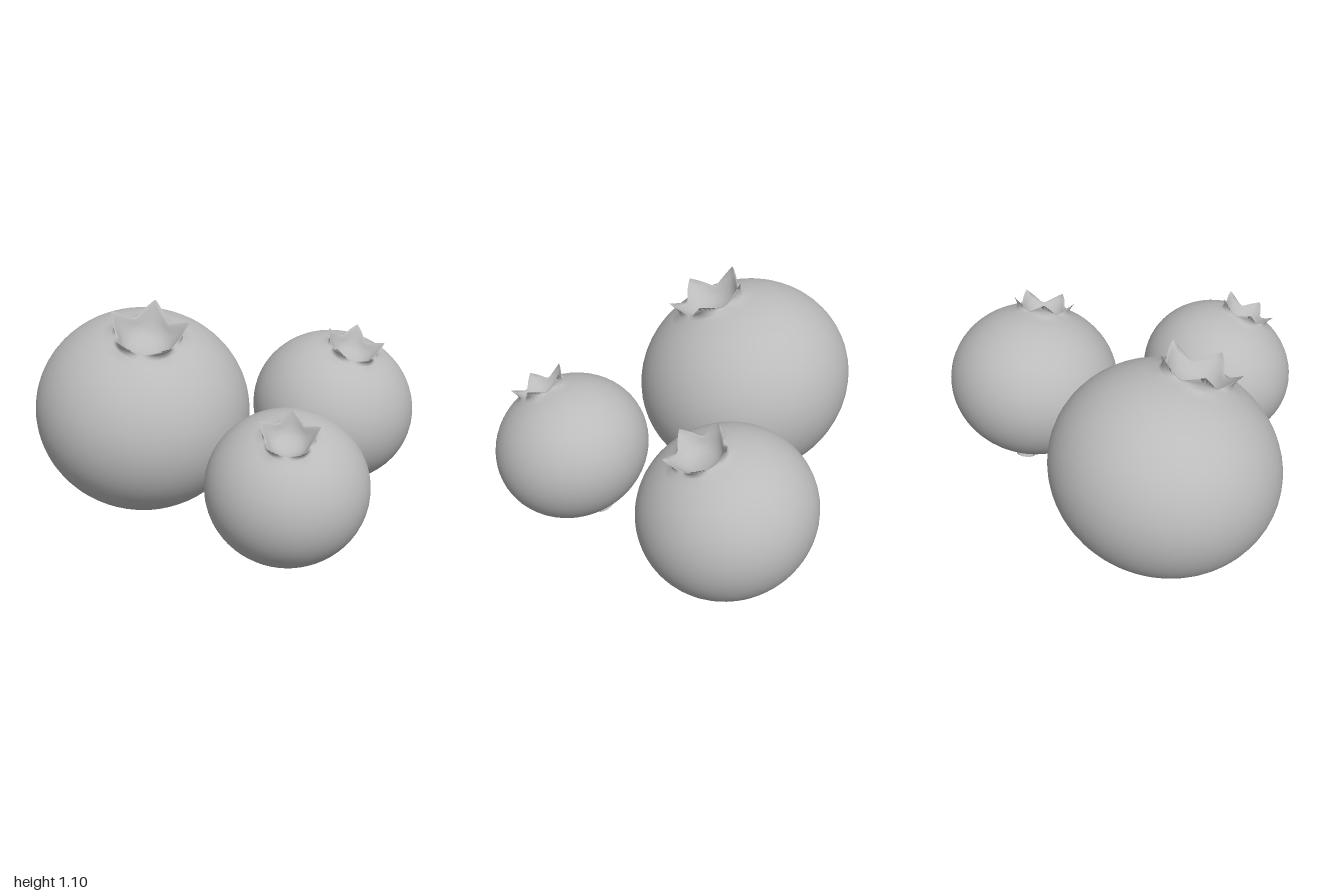
import * as THREE from 'three';
import { mergeVertices } from 'three/addons/utils/BufferGeometryUtils.js';

const R = 0.545, H = 0.495;
const skin = new THREE.MeshStandardMaterial({ color: 0xbbbbbb });
skin.name = 'berry grey';

// Round skin, five-pointed crown and hollow as one surface of revolution,
// with the crown rows pulled out into points.
function berryGeometry() {
  const rows = []; // [radius, height, radius shift at a point, height shift at a point]
  const last = Math.acos(0.175 / R);
  for (let i = 0; i <= 28; i++) {
    const a = -Math.PI / 2 + (last + Math.PI / 2) * i / 28;
    rows.push([i ? R * Math.cos(a) : 0, H * Math.sin(a), 0, 0]);
  }
  rows.push(
    [0.160, 0.477, 0.015, 0.020],
    [0.152, 0.480, 0.032, 0.038],
    [0.146, 0.481, 0.056, 0.068], // lip
    [0.138, 0.474, 0.040, 0.040],
    [0.130, 0.458, 0.018, 0.018],
    [0.115, 0.435, 0.004, 0.004],
    [0.085, 0.415, 0, 0],
    [0.045, 0.405, 0, 0],
    [0, 0.402, 0, 0]
  );
  const geo = new THREE.LatheGeometry(rows.map(r => new THREE.Vector2(r[0], r[1])), 60);
  const pos = geo.attributes.position;
  const step = Math.PI * 2 / 5;
  for (let i = 0; i < pos.count; i++) {
    const [r, h, dr, dh] = rows[i % rows.length];
    if (!dr) continue;
    const t = Math.atan2(pos.getZ(i), pos.getX(i));
    const off = Math.abs(t - Math.round(t / step) * step);
    const k = Math.pow(Math.max(0, 1 - off / (step * 0.46)), 1.2);
    const rr = r + dr * k;
    pos.setXYZ(i, Math.cos(t) * rr, h + dh * k, Math.sin(t) * rr);
  }
  geo.deleteAttribute('uv');
  geo.deleteAttribute('normal');
  const welded = mergeVertices(geo, 1e-5);
  welded.computeVertexNormals();
  return welded;
}

export function createModel() {
  const group = new THREE.Group();
  group.name = 'berries';
  const body = berryGeometry();
  const stemGeo = new THREE.CylinderGeometry(0.058, 0.062, 0.1, 20);

  // name, centre, scale, tilt forward, tilt sideways
  const berries = [
    ['largeBerry', [-0.455, 0.52, -0.32], 1, 0.39, -0.02],
    ['leftBerry', [0.567, 0.437, -0.378], 0.782, 0.33, -0.18],
    ['frontBerry', [0.118, 0.38, 0.466], 0.712, 0.45, 0.09]
  ];
  for (const [name, centre, scale, forward, side] of berries) {
    const berry = new THREE.Group();
    berry.name = name;
    const skinMesh = new THREE.Mesh(body, skin);
    skinMesh.name = 'skinAndCrown';
    const stem = new THREE.Mesh(stemGeo, skin);
    stem.name = 'stem';
    stem.position.y = -0.488;
    berry.add(skinMesh, stem);
    berry.position.set(...centre);
    berry.scale.setScalar(scale);
    berry.rotation.set(forward, 0, side);
    group.add(berry);
  }
  return group;
}
